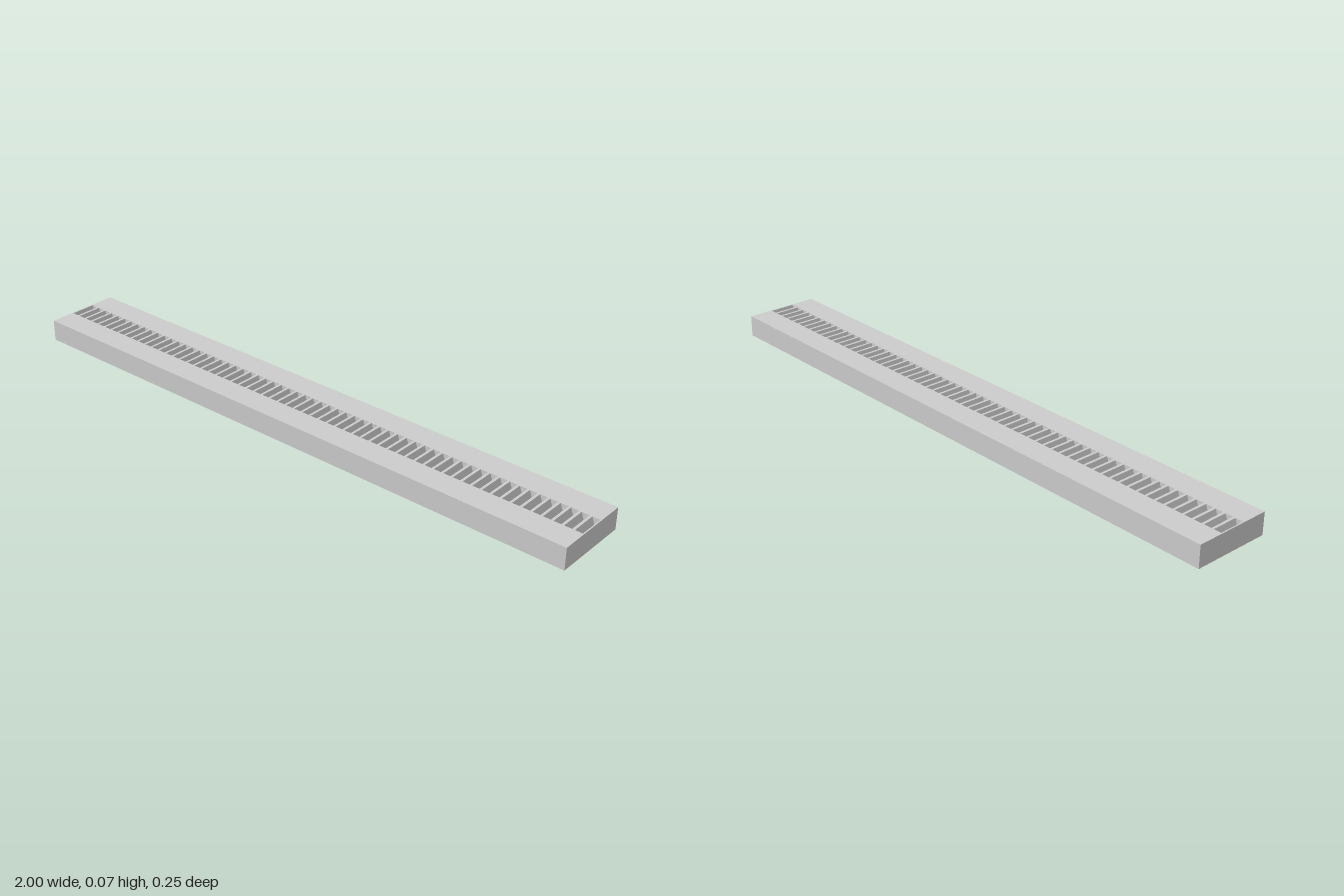
import * as THREE from 'three';
import { mergeGeometries } from 'three/addons/utils/BufferGeometryUtils.js';

const L = 2, H = 0.07, W = 0.25;             // bar size
const TEETH = 62, PITCH = L / TEETH;         // rack spacing
const GAP_TOP = 0.024, GAP_FLOOR = 0.007;    // tooth gap widths
const DEPTH = 0.023, HALF = 0.0425;          // tooth gap depth, half length
const HOLE_X = 0.875, HOLE_Z = 0.0625, HOLE_R = 0.017, HOLE_DEPTH = 0.045;

const material = new THREE.MeshStandardMaterial({ color: 0xcccccc });
const boreMaterial = new THREE.MeshStandardMaterial({ color: 0xcccccc, side: THREE.DoubleSide });

// Flat four-cornered face, corners counter-clockwise from its front
function quad(a, b, c, d) {
  const g = new THREE.BufferGeometry();
  g.setAttribute('position', new THREE.Float32BufferAttribute([a, b, c, a, c, d].flat(), 3));
  g.computeVertexNormals();
  return g;
}

function rectangle(w, h) {
  return new THREE.Shape([[-1, -1], [1, -1], [1, 1], [-1, 1]]
    .map(([x, y]) => new THREE.Vector2(x * w / 2, y * h / 2)));
}

// Recess between two teeth: sloping flanks, narrow floor and two end walls
function toothGap(x) {
  const t = GAP_TOP / 2, f = GAP_FLOOR / 2;
  const profile = [[x - t, H], [x - f, H - DEPTH], [x + f, H - DEPTH], [x + t, H]];
  const back = profile.map(([px, py]) => [px, py, -HALF]);
  const front = profile.map(([px, py]) => [px, py, HALF]);
  const faces = [quad(...back), quad(...[...front].reverse())];
  for (let i = 0; i < 3; i++) faces.push(quad(front[i], front[i + 1], back[i + 1], back[i]));
  return mergeGeometries(faces);
}

export function createModel() {
  const group = new THREE.Group();
  const add = (name, geometry, mat = material) => {
    const mesh = new THREE.Mesh(geometry, mat);
    mesh.name = name;
    group.add(mesh);
    return mesh;
  };

  // Top face pierced by the row of tooth gaps
  const top = rectangle(L, W);
  const gaps = [];
  for (let i = 0; i < TEETH; i++) {
    const x = -L / 2 + (i + 0.5) * PITCH, t = GAP_TOP / 2;
    top.holes.push(new THREE.Path([[x - t, -HALF], [x - t, HALF], [x + t, HALF], [x + t, -HALF]]
      .map(([px, py]) => new THREE.Vector2(px, py))));
    gaps.push(toothGap(x));
  }
  add('topFace', new THREE.ShapeGeometry(top).rotateX(-Math.PI / 2).translate(0, H, 0));
  add('rackTeeth', mergeGeometries(gaps));

  // Outer walls
  const walls = [];
  for (let i = 0; i < 4; i++) {
    const end = i % 2;
    walls.push(new THREE.PlaneGeometry(end ? W : L, H)
      .translate(0, H / 2, (end ? L : W) / 2).rotateY(i * Math.PI / 2));
  }
  add('sideWalls', mergeGeometries(walls));

  // Underside with four blind mounting holes
  const bottom = rectangle(L, W);
  for (const sx of [-1, 1]) for (const sz of [-1, 1]) {
    const x = sx * HOLE_X, z = sz * HOLE_Z;
    bottom.holes.push(new THREE.Path().absarc(x, z, HOLE_R, 0, Math.PI * 2, true));
    const bore = new THREE.CylinderGeometry(HOLE_R, HOLE_R, HOLE_DEPTH, 24, 1, true)
      .translate(0, HOLE_DEPTH / 2, 0);
    const cap = new THREE.CircleGeometry(HOLE_R, 24)
      .rotateX(Math.PI / 2).translate(0, HOLE_DEPTH, 0);
    add('mountingHole', mergeGeometries([bore, cap]), boreMaterial).position.set(x, 0, z);
  }
  add('underside', new THREE.ShapeGeometry(bottom, 12).rotateX(Math.PI / 2));

  return group;
}
